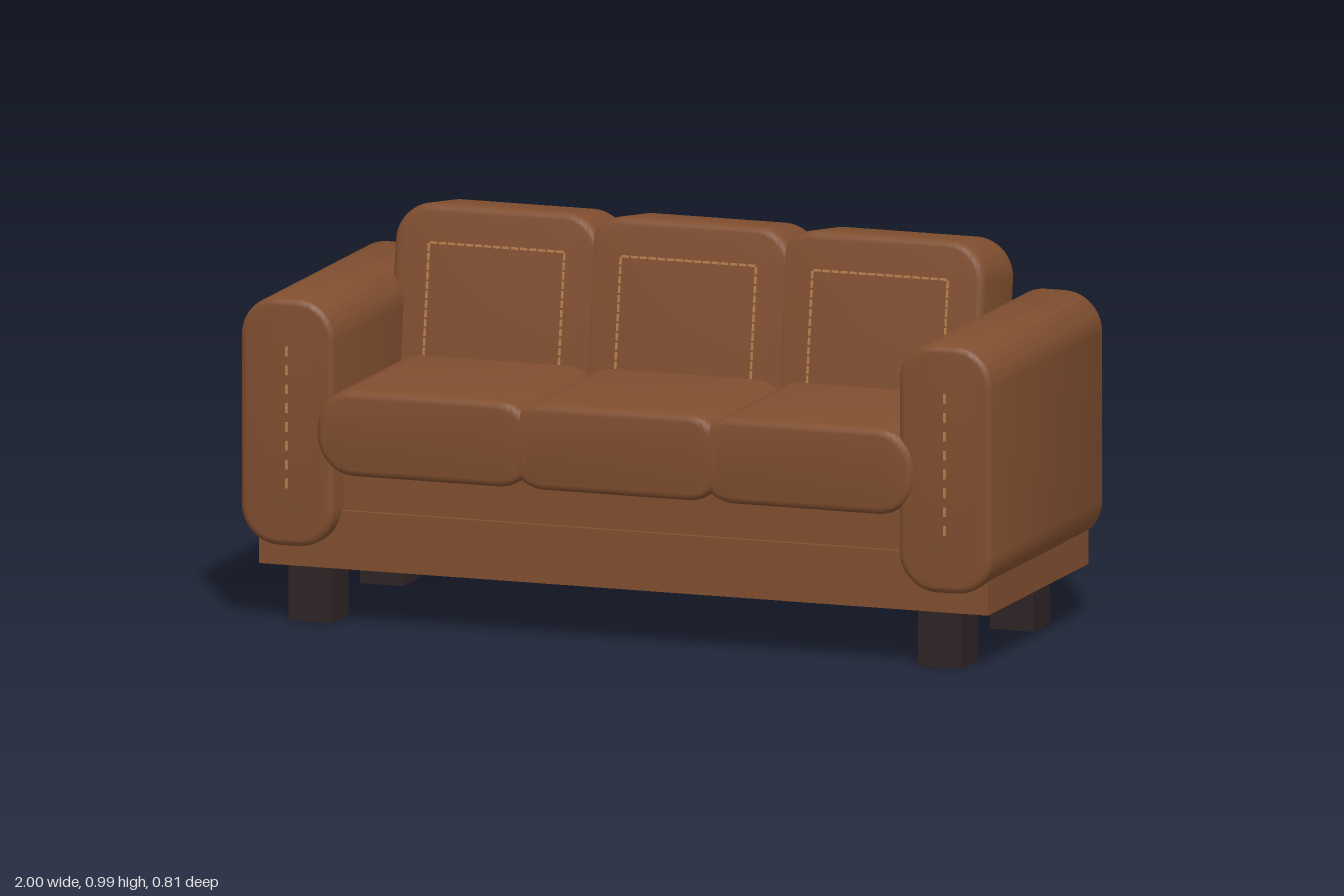
import * as THREE from 'three';
import { toCreasedNormals } from 'three/addons/utils/BufferGeometryUtils.js';

const leather = new THREE.MeshStandardMaterial({ color: 0x804e2f });
leather.name = 'brown leather';
const thread = new THREE.MeshStandardMaterial({ color: 0xb47c4c });
thread.name = 'tan thread';
const wood = new THREE.MeshStandardMaterial({ color: 0x2e2424 });
wood.name = 'dark wood';

function add(parent, name, geometry, material, x = 0, y = 0, z = 0) {
  const mesh = new THREE.Mesh(geometry, material);
  mesh.name = name;
  mesh.position.set(x, y, z);
  parent.add(mesh);
  return mesh;
}

// Rounded rectangle extruded along z with a soft bevel, centred on the origin
function padGeometry(w, h, d, r, bevel) {
  const x = w / 2 - bevel, y = h / 2 - bevel, c = r - bevel;
  const s = new THREE.Shape();
  s.moveTo(-x + c, -y);
  s.lineTo(x - c, -y);
  s.absarc(x - c, -y + c, c, -Math.PI / 2, 0);
  s.lineTo(x, y - c);
  s.absarc(x - c, y - c, c, 0, Math.PI / 2);
  s.lineTo(-x + c, y);
  s.absarc(-x + c, y - c, c, Math.PI / 2, Math.PI);
  s.lineTo(-x, -y + c);
  s.absarc(-x + c, -y + c, c, Math.PI, Math.PI * 1.5);
  const g = new THREE.ExtrudeGeometry(s, {
    depth: d - 2 * bevel, bevelSize: bevel, bevelThickness: bevel,
    bevelSegments: 4, curveSegments: 10,
  });
  g.translate(0, 0, -d / 2 + bevel);
  return toCreasedNormals(g, 0.6);
}

// Row of stitches from one point to another, along x or y
function stitchRow(parent, x0, y0, x1, y1, z, count, fill) {
  const dx = (x1 - x0) / count, dy = (y1 - y0) / count;
  const t = 0.006;
  const g = new THREE.BoxGeometry(Math.max(t, Math.abs(dx) * fill), Math.max(t, Math.abs(dy) * fill), t);
  for (let i = 0; i < count; i++) {
    add(parent, 'stitch', g, thread, x0 + dx * (i + 0.5), y0 + dy * (i + 0.5), z);
  }
}

export function createModel() {
  const sofa = new THREE.Group();
  sofa.name = 'sofa';

  // Frame
  add(sofa, 'baseFrame', new THREE.BoxGeometry(1.94, 0.148, 0.715), leather, 0, 0.216, -0.0175);
  add(sofa, 'seatDeck', new THREE.BoxGeometry(1.56, 0.13, 0.70), leather, 0, 0.355, -0.025);

  // Legs
  const legGeometry = new THREE.BoxGeometry(0.115, 0.145, 0.12);
  for (const x of [-0.8375, 0.8375]) {
    add(sofa, 'frontLeg', legGeometry, wood, x, 0.0725, 0.27);
    add(sofa, 'backLeg', legGeometry, wood, x, 0.0725, -0.24);
  }

  // Arms with a dashed seam on the front
  const armGeometry = padGeometry(0.25, 0.63, 0.8, 0.1, 0.018);
  for (const side of [-1, 1]) {
    add(sofa, side > 0 ? 'leftArm' : 'rightArm', armGeometry, leather, side * 0.875, 0.515, -0.005);
    const seam = new THREE.Group();
    seam.name = 'armSeam';
    stitchRow(seam, side * 0.875, 0.337, side * 0.875, 0.72, 0.396, 8, 0.5);
    sofa.add(seam);
  }

  // Seat cushions
  const seatGeometry = padGeometry(0.58, 0.22, 0.645, 0.1, 0.02);
  for (const i of [-1, 0, 1]) add(sofa, 'seatCushion', seatGeometry, leather, i * 0.505, 0.5, 0.0825);

  // Reclined backrest: panel, cushions and stitched frames
  const back = new THREE.Group();
  back.name = 'backrest';
  back.position.set(0, 0.71, -0.213);
  back.rotation.x = -0.14;
  sofa.add(back);
  add(back, 'backPanel', new THREE.BoxGeometry(1.54, 0.322, 0.06), leather, 0, -0.059, -0.119);
  const backGeometry = padGeometry(0.55, 0.53, 0.227, 0.1, 0.02);
  for (const i of [-1, 0, 1]) {
    const cushion = new THREE.Group();
    cushion.name = 'backCushion';
    cushion.position.x = i * 0.51;
    back.add(cushion);
    add(cushion, 'cushionBody', backGeometry, leather);
    for (const s of [-1, 1]) {
      stitchRow(cushion, s * 0.18, -0.166, s * 0.18, 0.166, 0.1135, 14, 0.8);
      stitchRow(cushion, -0.18, s * 0.166, 0.18, s * 0.166, 0.1135, 15, 0.8);
    }
  }

  return sofa;
}
